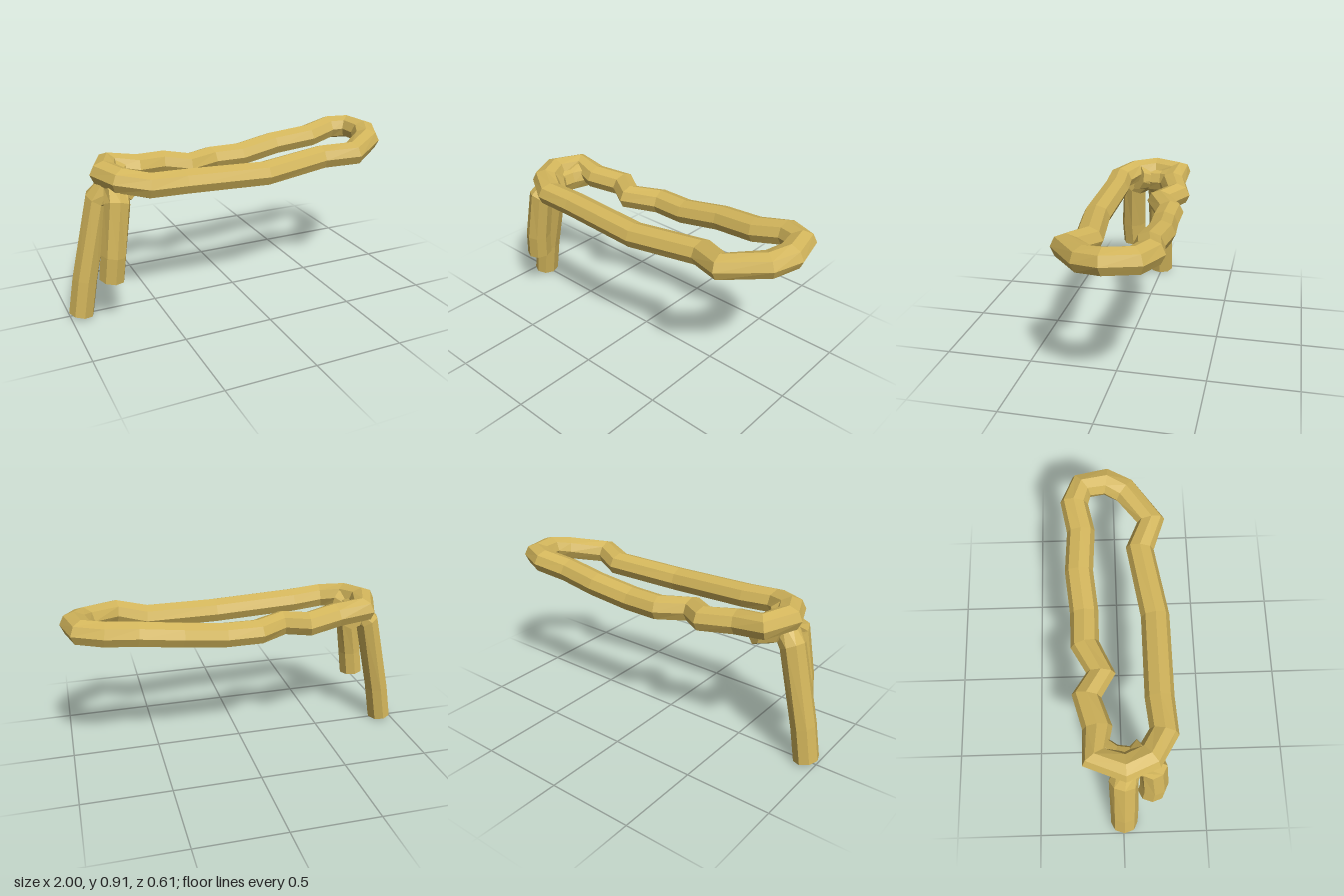
import * as THREE from 'three';

const SIDES = 8;

// Eight-sided strand through the given points. ref is the direction that
// orients the sections; the section is a little wider across it.
function strand(points, ref, closed) {
  const pts = points.map((p) => new THREE.Vector3(...p));
  const n = pts.length;
  const pos = [];
  const index = [];
  pts.forEach((p, i) => {
    const prev = closed ? pts[(i + n - 1) % n] : pts[Math.max(i - 1, 0)];
    const next = closed ? pts[(i + 1) % n] : pts[Math.min(i + 1, n - 1)];
    const t = new THREE.Vector3();
    if (prev !== p) t.add(p.clone().sub(prev).normalize());
    if (next !== p) t.add(next.clone().sub(p).normalize());
    t.normalize();
    const side = t.clone().cross(ref).normalize();
    const up = t.clone().cross(side);
    for (let j = 0; j < SIDES; j++) {
      const a = (j / SIDES) * Math.PI * 2;
      const v = p.clone()
        .addScaledVector(side, Math.cos(a) * 0.08)
        .addScaledVector(up, Math.sin(a) * 0.07);
      pos.push(v.x, v.y, v.z);
    }
  });

  // Walls between neighbouring sections
  const rings = closed ? n : n - 1;
  for (let i = 0; i < rings; i++) {
    const r0 = i * SIDES;
    const r1 = ((i + 1) % n) * SIDES;
    for (let j = 0; j < SIDES; j++) {
      const k = (j + 1) % SIDES;
      index.push(r0 + j, r0 + k, r1 + j, r0 + k, r1 + k, r1 + j);
    }
  }

  // Flat cut ends
  if (!closed) {
    const last = (n - 1) * SIDES;
    for (let j = 1; j < SIDES - 1; j++) {
      index.push(0, j + 1, j, last, last + j, last + j + 1);
    }
  }

  const g = new THREE.BufferGeometry();
  g.setAttribute('position', new THREE.Float32BufferAttribute(pos, 3));
  g.setIndex(index);
  g.computeVertexNormals();
  return g;
}

export function createModel() {
  const group = new THREE.Group();
  const straw = new THREE.MeshStandardMaterial({ color: 0xd2b55b, flatShading: true });
  straw.name = 'straw';

  const add = (name, points, ref, closed) => {
    const mesh = new THREE.Mesh(strand(points, ref, closed), straw);
    mesh.name = name;
    group.add(mesh);
  };
  const X = new THREE.Vector3(1, 0, 0);
  const Y = new THREE.Vector3(0, 1, 0);

  // Long wavy loop, front strand first, then round the far end and back
  add('ropeLoop', [
    [-0.57, 0.80, 0.22], [-0.38, 0.79, 0.205], [0.1, 0.77, 0.205],
    [0.51, 0.795, 0.135], [0.68, 0.815, 0.205], [0.87, 0.84, 0.06],
    [0.92, 0.86, -0.05], [0.89, 0.865, -0.19], [0.78, 0.86, -0.235],
    [0.61, 0.83, -0.2], [0.37, 0.805, -0.215], [0.13, 0.77, -0.19],
    [-0.06, 0.77, -0.19], [-0.23, 0.775, -0.105], [-0.36, 0.785, -0.185],
    [-0.54, 0.80, -0.13], [-0.70, 0.825, -0.145], [-0.755, 0.83, 0.01],
    [-0.70, 0.82, 0.14],
  ], Y, true);

  // Long hanging end, tucked under the loop towards the front strand
  add('longRopeEnd', [
    [-0.935, 0.032, 0.005], [-0.90, 0.24, 0.005], [-0.80, 0.69, 0],
    [-0.735, 0.76, 0.03], [-0.65, 0.785, 0.12],
  ], X, false);

  // Short hanging end, passing under the loop to the back strand
  add('shortRopeEnd', [
    [-0.79, 0.288, 0.167], [-0.775, 0.43, 0.175], [-0.735, 0.70, 0.16],
    [-0.71, 0.77, 0.08], [-0.69, 0.77, -0.05], [-0.64, 0.785, -0.13],
  ], X, false);

  return group;
}
